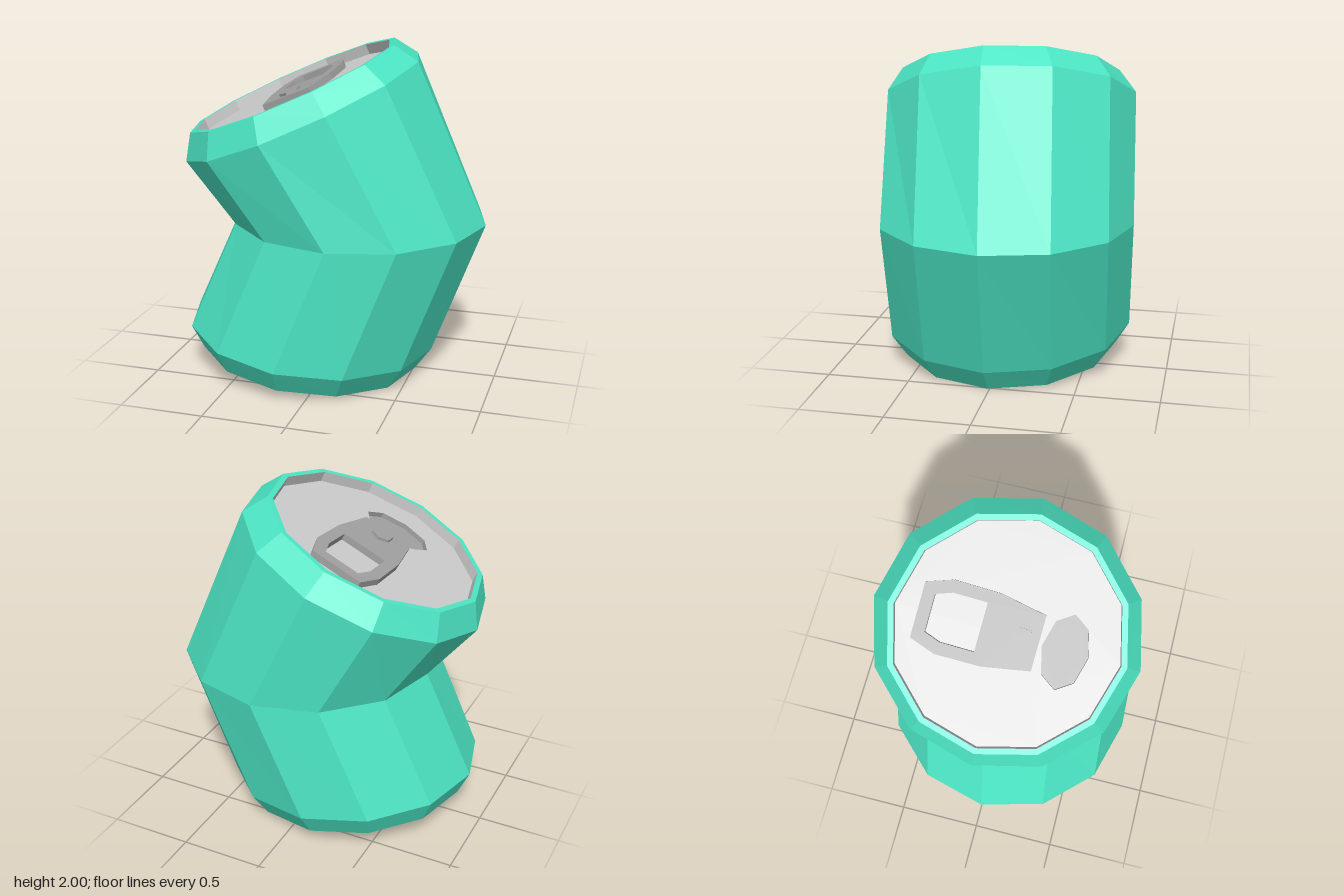
import * as THREE from 'three';

const SIDES = 12;
const vec = (a) => new THREE.Vector3(...a);
const material = (color) => new THREE.MeshStandardMaterial({ color, flatShading: true });

// A ring is a tilted circle: centre plus the two radius vectors u (+x) and v (+z).
const ring = (c, u, v) => ({ c: vec(c), u: vec(u), v: vec(v) });
const scaled = (r, s, offset = new THREE.Vector3()) => ({
  c: r.c.clone().add(offset), u: r.u.clone().multiplyScalar(s), v: r.v.clone().multiplyScalar(s),
});

// Skin a sequence of rings with flat facets
function loft(rings) {
  const pos = [], idx = [];
  for (const r of rings) {
    for (let k = 0; k < SIDES; k++) {
      const t = (k / SIDES) * Math.PI * 2;
      const p = r.c.clone().addScaledVector(r.u, Math.cos(t)).addScaledVector(r.v, Math.sin(t));
      pos.push(p.x, p.y, p.z);
    }
  }
  for (let i = 0; i < rings.length - 1; i++) {
    for (let k = 0; k < SIDES; k++) {
      const a = i * SIDES + k, b = i * SIDES + ((k + 1) % SIDES);
      idx.push(a, a + SIDES, b + SIDES, a, b + SIDES, b);
    }
  }
  const g = new THREE.BufferGeometry();
  g.setAttribute('position', new THREE.Float32BufferAttribute(pos, 3));
  g.setIndex(idx);
  g.computeVertexNormals();
  return g;
}

// Closed outline from points, optionally mirrored left to right
const points = (list) => list.map(([x, y]) => new THREE.Vector2(x, y));
const mirrored = (half) => points([...half, ...half.map(([x, y]) => [-x, y]).reverse()]);
const ngon = (n, rx, ry, cx, cy, phase = 0) => points(Array.from({ length: n }, (_, k) => {
  const t = phase + (k / n) * Math.PI * 2;
  return [cx + rx * Math.cos(t), cy + ry * Math.sin(t)];
}));

export function createModel() {
  const model = new THREE.Group();
  model.name = 'bentCan';
  const teal = material(0x4ce5c4), grey = material(0xcccccc), darkGrey = material(0xa0a0a0);
  const add = (parent, name, geometry, mat) => {
    const mesh = new THREE.Mesh(geometry, mat);
    mesh.name = name;
    parent.add(mesh);
    return mesh;
  };

  // Cross-sections from the base, through the crease, to the tilted rim
  const base = ring([-0.165, 0.07, 0.012], [0.675, -0.07, 0], [0, -0.01, 0.675]);
  const lower = ring([-0.15, 0.215, 0.015], [0.76, -0.075, 0], [0, -0.01, 0.765]);
  const crease = ring([0.145, 0.945, -0.022], [0.765, 0, 0], [0, 0, 0.765]);
  const upper = ring([-0.203, 1.605, 0.015], [0.703, 0.303, 0.03], [-0.01, -0.07, 0.763]);
  const rim = ring([-0.26, 1.735, 0.03], [0.62, 0.265, 0.03], [-0.005, -0.06, 0.67]);

  const right = rim.u.clone().normalize();
  const normal = rim.v.clone().cross(rim.u).normalize();
  const back = normal.clone().cross(right);
  const lip = scaled(rim, 0.95);
  const lidEdge = scaled(rim, 0.95, normal.clone().multiplyScalar(-0.065));

  add(model, 'body', loft([base, lower, crease, upper, rim, lip]), teal);
  add(model, 'bottom', loft([scaled(base, 0), base]), grey);
  add(model, 'rimInnerWall', loft([lip, lidEdge]), grey);

  // Lid details are drawn flat, then laid on the tilted top (y points to the back)
  const top = new THREE.Group();
  top.name = 'top';
  top.quaternion.setFromRotationMatrix(new THREE.Matrix4().makeBasis(right, back, normal));
  top.position.copy(lidEdge.c);
  model.add(top);

  // Lid with a sunken mouth
  const mouth = ngon(8, 0.215, 0.132, -0.01, -0.328);
  const lidRadius = lidEdge.u.length();
  const lid = new THREE.Shape(ngon(SIDES, lidRadius, lidRadius, 0, 0));
  lid.holes.push(new THREE.Path(mouth));
  add(top, 'lid', new THREE.ShapeGeometry(lid), grey);

  const depth = 0.03;
  add(top, 'mouthFloor', new THREE.ShapeGeometry(new THREE.Shape(mouth)), darkGrey).position.z = -depth;
  const wall = new THREE.CylinderGeometry(1, 1, depth, 8, 1, true);
  wall.rotateX(Math.PI / 2).scale(0.215, 0.132, 1).translate(-0.01, -0.328, -depth / 2);
  const wallMaterial = darkGrey.clone();
  wallMaterial.side = THREE.DoubleSide;
  add(top, 'mouthWall', wall, wallMaterial);

  // Pull tab with finger hole, and its rivet
  const tab = new THREE.Shape(mirrored([[0.158, -0.176], [0.207, 0.095], [0.21, 0.357], [0.158, 0.507]]));
  tab.holes.push(new THREE.Path(mirrored([[0.14, 0.15], [0.14, 0.345], [0.107, 0.438]])));
  add(top, 'pullTab', new THREE.ExtrudeGeometry(tab, { depth: 0.04, bevelEnabled: false }), darkGrey);
  const rivet = new THREE.Shape(ngon(6, 0.066, 0.066, 0, -0.085, Math.PI / 2));
  add(top, 'rivet', new THREE.ExtrudeGeometry(rivet, { depth: 0.055, bevelEnabled: false }), darkGrey);

  return model;
}
